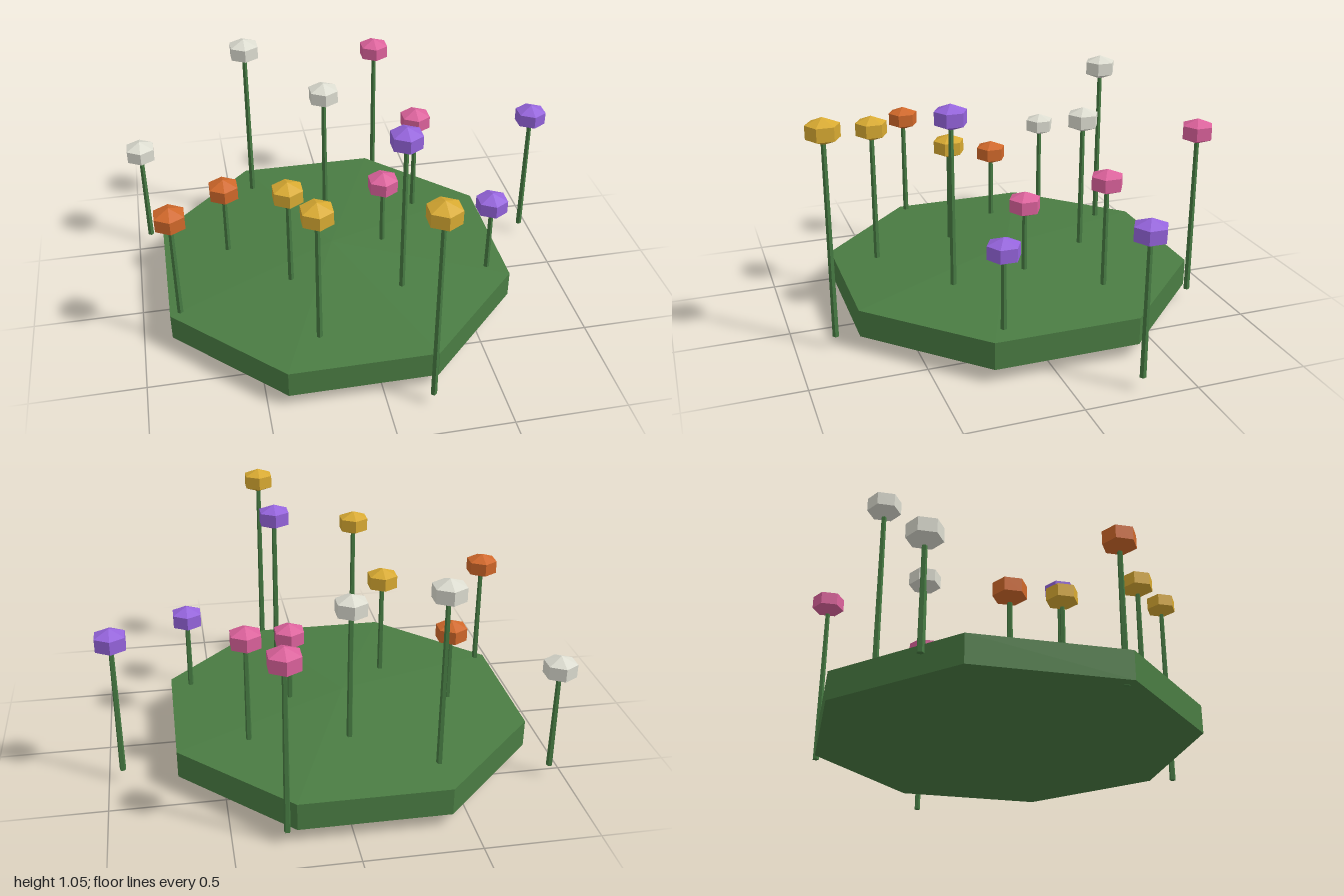
import * as THREE from 'three';

const paint = (name, color) => {
  const m = new THREE.MeshStandardMaterial({ color, flatShading: true });
  m.name = name;
  return m;
};

export function createModel() {
  const model = new THREE.Group();
  model.name = 'flowerPatch';

  const grass = paint('grassGreen', 0x4a7c43);
  const stemGreen = paint('stemGreen', 0x467a42);
  const white = paint('white', 0xdcdcd0);
  const pink = paint('pink', 0xdc629c);
  const purple = paint('purple', 0x9564dc);
  const gold = paint('gold', 0xd8aa32);
  const orange = paint('orange', 0xd0682a);

  // Octagonal mound: a squashed low-poly sphere with flat sides on the axes
  const mound = new THREE.Mesh(new THREE.SphereGeometry(1, 8, 3).rotateY(Math.PI / 8), grass);
  mound.name = 'mound';
  mound.scale.set(0.98, 0.124, 0.98);
  mound.position.set(-0.087, 0.124, -0.055);
  model.add(mound);

  // Flower head: squashed six-sided sphere with corners towards front and back
  const headGeometry = new THREE.SphereGeometry(0.084, 6, 3).rotateY(Math.PI / 2).scale(1, 0.7, 1);
  const stemBase = 0.057;

  // Each flower: x, z, head height, colour
  const low = 0.545, mid = 0.693, high = 0.84, top = 0.988;
  const flowers = [
    [-0.936, -0.548, low, white],
    [-0.396, -0.655, top, white],
    [-0.054, -0.42, high, white],
    [0.278, -0.834, high, pink],
    [0.38, -0.35, mid, pink],
    [0.158, -0.056, low, pink],
    [0.936, -0.278, mid, purple],
    [0.604, 0.2, low, purple],
    [0.176, 0.286, top, purple],
    [-0.313, 0.155, mid, gold],
    [-0.246, 0.537, high, gold],
    [0.19, 0.826, top, gold],
    [-0.572, -0.142, low, orange],
    [-0.824, 0.249, mid, orange],
  ];

  for (const [x, z, y, color] of flowers) {
    const flower = new THREE.Group();
    flower.name = `${color.name}Flower`;
    flower.position.set(x, 0, z);

    // Slightly tapered stem reaching into the head
    const length = y - stemBase;
    const stem = new THREE.Mesh(new THREE.CylinderGeometry(0.011, 0.0145, length, 5), stemGreen);
    stem.name = 'stem';
    stem.position.y = stemBase + length / 2;

    const head = new THREE.Mesh(headGeometry, color);
    head.name = 'flowerHead';
    head.position.y = y;

    flower.add(stem, head);
    model.add(flower);
  }
  return model;
}
